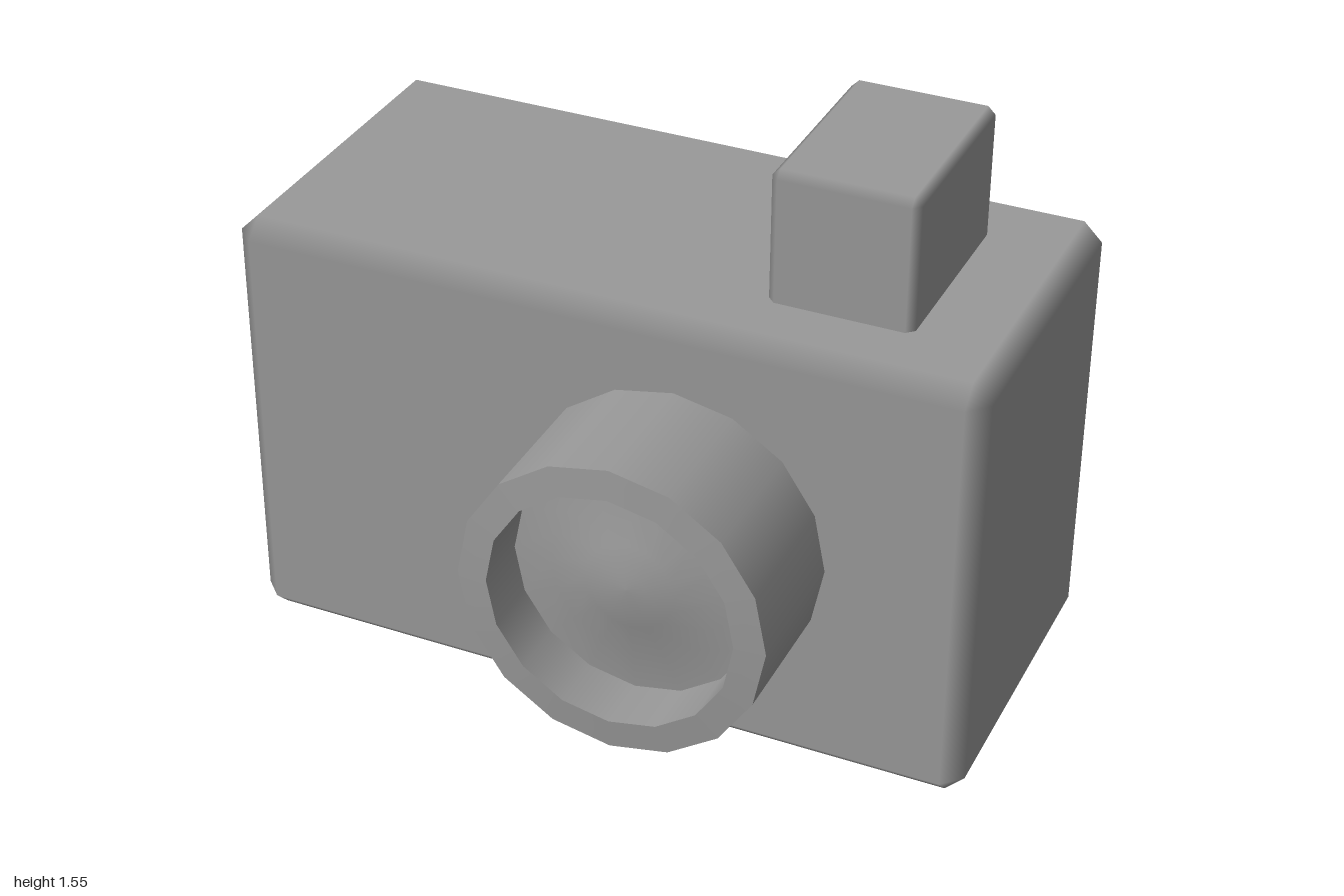
import * as THREE from 'three';
import { ConvexGeometry } from 'three/addons/geometries/ConvexGeometry.js';

// Box with single-step chamfers, shaded smoothly across the edges
function chamferBox(w, h, d, c) {
  const half = [w / 2, h / 2, d / 2];
  const points = [];
  for (let axis = 0; axis < 3; axis++)
    for (const sx of [-1, 1]) for (const sy of [-1, 1]) for (const sz of [-1, 1]) {
      const p = [sx, sy, sz].map((s, i) => s * (half[i] - (i === axis ? 0 : c)));
      points.push(new THREE.Vector3(...p));
    }
  const geometry = new ConvexGeometry(points);
  const pos = geometry.attributes.position;
  const normal = geometry.attributes.normal;
  // each corner takes the normal of the main face it belongs to
  for (let i = 0; i < pos.count; i++) {
    const p = [pos.getX(i), pos.getY(i), pos.getZ(i)];
    const n = p.map((v, k) => (Math.abs(v) > half[k] - c / 2 ? Math.sign(v) : 0));
    normal.setXYZ(i, ...n);
  }
  return geometry;
}

export function createModel() {
  const model = new THREE.Group();
  model.name = 'camera';
  const grey = new THREE.MeshStandardMaterial({ color: 0x999999 });
  grey.name = 'grey';

  function add(name, geometry, parent, x = 0, y = 0, z = 0) {
    const mesh = new THREE.Mesh(geometry, grey);
    mesh.name = name;
    mesh.position.set(x, y, z);
    parent.add(mesh);
  }

  // Main housing and the raised finder block
  add('body', chamferBox(2, 1.2, 0.94, 0.05), model, 0, 0.6, -0.19);
  add('viewfinder', chamferBox(0.375, 0.45, 0.55, 0.02), model, 0.563, 1.328, -0.188);

  // Lens: profiles are [radius, z], one per surface so the rims stay sharp
  const lens = new THREE.Group();
  lens.name = 'lens';
  lens.position.set(0.22, 0.603, 0);
  model.add(lens);
  const profiles = {
    lensBarrel: [[0.405, 0.26], [0.405, 0.648]],
    lensRim: [[0.405, 0.648], [0.325, 0.655]],
    lensInnerWall: [[0.325, 0.655], [0.325, 0.5]],
    lensGlass: [[0.325, 0.5], [0.22, 0.51], [0.12, 0.535], [0.05, 0.548], [0, 0.55]],
  };
  for (const [name, profile] of Object.entries(profiles)) {
    const points = profile.map(([r, z]) => new THREE.Vector2(r, z));
    add(name, new THREE.LatheGeometry(points, 16).rotateX(Math.PI / 2), lens);
  }
  return model;
}
